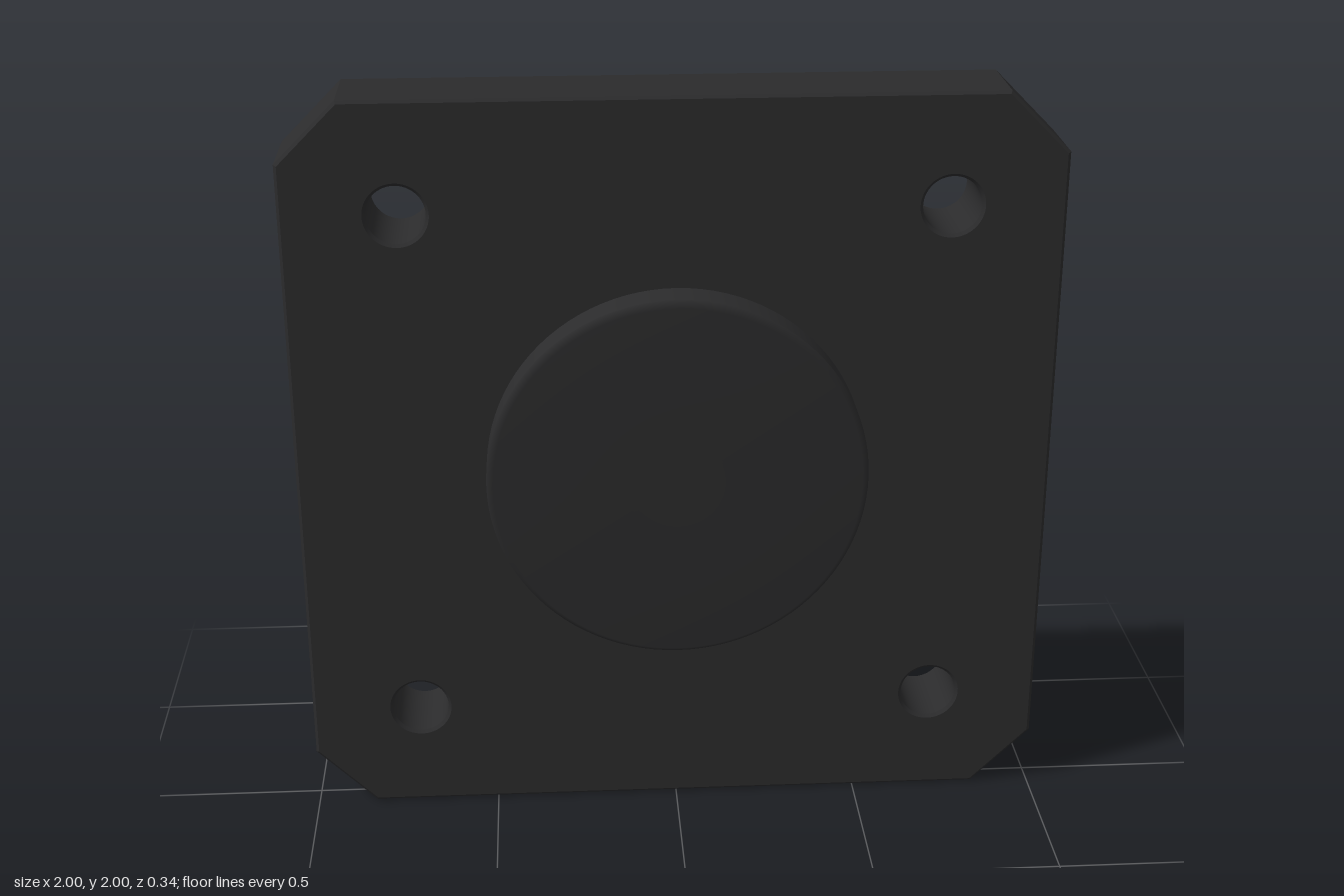
import * as THREE from 'three';
import { toCreasedNormals } from 'three/addons/utils/BufferGeometryUtils.js';

const BACK = -0.172, PLATE_FRONT = 0.06, BOSS_FRONT = 0.172;
const BEVEL = 0.008;

export function createModel() {
  const group = new THREE.Group();
  group.name = 'flangePlate';
  const material = new THREE.MeshStandardMaterial({ color: 0x2b2b2c });

  const add = (name, geometry, parent = group) => {
    const mesh = new THREE.Mesh(geometry, material);
    mesh.name = name;
    parent.add(mesh);
    return mesh;
  };

  // Square plate with cut corners and four bolt holes
  const h = 1, c = 0.84;
  const outline = new THREE.Shape([
    [c, -h], [h, -c], [h, c], [c, h], [-c, h], [-h, c], [-h, -c], [-c, -h],
  ].map(([x, y]) => new THREE.Vector2(x, y)));
  for (const sx of [-1, 1]) for (const sy of [-1, 1]) {
    const hole = new THREE.Path();
    hole.absarc(sx * 0.705, sy * 0.705, 0.076, 0, Math.PI * 2, true);
    outline.holes.push(hole);
  }
  const plate = new THREE.ExtrudeGeometry(outline, {
    depth: PLATE_FRONT - BACK - 2 * BEVEL,
    bevelEnabled: true, bevelThickness: BEVEL, bevelSize: BEVEL,
    bevelOffset: -BEVEL, bevelSegments: 1, curveSegments: 32,
  });
  plate.translate(0, 1, BACK + BEVEL);
  add('plate', toCreasedNormals(plate, 0.5));

  // Round boss: profiles are [radius, z], turned so the axis points forward
  const boss = new THREE.Group();
  boss.name = 'boss';
  boss.position.y = 1;
  boss.rotation.x = Math.PI / 2;
  group.add(boss);
  const lathe = (profile) => new THREE.LatheGeometry(
    profile.map(([r, z]) => new THREE.Vector2(r, z)), 96);

  add('bossWall', lathe([[0.5, PLATE_FRONT - 0.01], [0.5, 0.152]]), boss);
  // Face and its chamfer share smooth normals
  add('bossFace', lathe([[0.5, 0.152], [0.483, BOSS_FRONT], [0.122, BOSS_FRONT]]), boss);

  // Flush disc in the middle of the boss
  const disc = add('centreDisc', new THREE.CircleGeometry(0.122, 96));
  disc.position.set(0, 1, BOSS_FRONT);

  return group;
}
